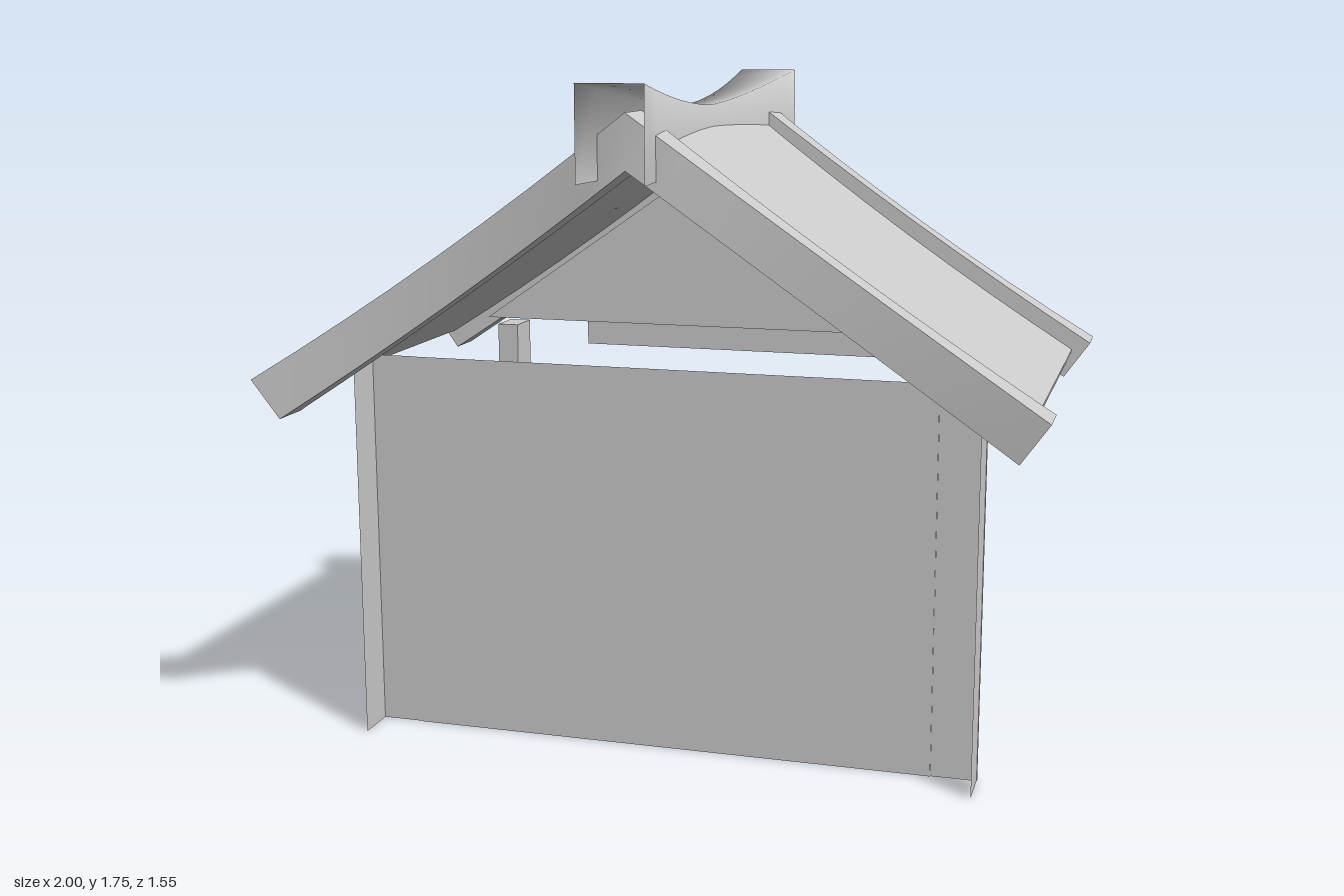
import * as THREE from 'three';
import { toCreasedNormals } from 'three/addons/utils/BufferGeometryUtils.js';

const grey = new THREE.MeshStandardMaterial({ color: 0xcccccc });
const greyThin = new THREE.MeshStandardMaterial({ color: 0xcccccc, side: THREE.DoubleSide });
const greyInner = new THREE.MeshStandardMaterial({ color: 0xcccccc, side: THREE.BackSide });

const COUNTER_Z = -0.085; // centre of the counter's half round
const WALL_Z = 0.345;

function addMesh(group, name, geometry, material = grey, x = 0, y = 0, z = 0) {
  const mesh = new THREE.Mesh(geometry, material);
  mesh.name = name;
  mesh.position.set(x, y, z);
  group.add(mesh);
  return mesh;
}

// Points along the counter at one radius: +x straight, arc round the back, -x straight
function counterLine([rx, rz], a0, a1) {
  const pts = [];
  if (a0 === 0) pts.push(new THREE.Vector2(rx, 0.005 - WALL_Z));
  const n = Math.round((a1 - a0) / (Math.PI / 16));
  for (let i = 0; i <= n; i++) {
    const a = a0 + (a1 - a0) * i / n;
    pts.push(new THREE.Vector2(rx * Math.cos(a), rz * Math.sin(a) - COUNTER_Z));
  }
  if (a1 === Math.PI) pts.push(new THREE.Vector2(-rx, 0));
  return pts;
}

function counterBand(outer, inner, a0, a1, height) {
  const outline = [...counterLine(outer, a0, a1), ...counterLine(inner, a0, a1).reverse()];
  const geo = new THREE.ExtrudeGeometry(new THREE.Shape(outline), { depth: height, bevelEnabled: false });
  geo.rotateX(-Math.PI / 2);
  return toCreasedNormals(geo, 0.6);
}

// Gable-shaped strip; top(t) and bottom(t) give [x, y] from ridge to eave,
// back(x) and front(x) give the z of its two ends
function chevron(top, bottom, back, front, crease) {
  const geo = new THREE.BoxGeometry(2, 1, 1, 16, 1, 1);
  const p = geo.attributes.position;
  for (let i = 0; i < p.count; i++) {
    const t = Math.abs(p.getX(i));
    const [x, y] = p.getY(i) > 0 ? top(t) : bottom(t);
    p.setXYZ(i, Math.sign(p.getX(i)) * x, y, p.getZ(i) > 0 ? front(x) : back(x));
  }
  return toCreasedNormals(geo, crease);
}

function createWalls(group) {
  addMesh(group, 'frontWall', new THREE.PlaneGeometry(1.4, 1.02), greyThin, 0, 0.51, WALL_Z);

  // Front corner posts: angle-shaped, open toward the front and the wall
  for (const s of [-1, 1]) {
    const post = new THREE.Group();
    post.name = s > 0 ? 'frontPostLeft' : 'frontPostRight';
    addMesh(post, 'postBack', new THREE.PlaneGeometry(0.12, 1.02), greyThin, s * 0.76, 0.51, 0.342);
    addMesh(post, 'postSide', new THREE.PlaneGeometry(0.113, 1.02), greyThin, s * 0.818, 0.51, 0.398)
      .rotation.y = Math.PI / 2;
    group.add(post);
  }

  // Slim square posts standing at the counter's edge
  addMesh(group, 'rearPostLeft', new THREE.BoxGeometry(0.06, 1.02, 0.08), grey, 0.64, 0.51, -0.3);
  addMesh(group, 'rearPostRight', new THREE.BoxGeometry(0.06, 1.02, 0.1), grey, -0.66, 0.51, -0.28);

  // Gable panel at the back, with a board hung in front of it
  const gable = new THREE.Shape([
    new THREE.Vector2(-0.82, 1.0), new THREE.Vector2(0.82, 1.0), new THREE.Vector2(0, 1.57)]);
  addMesh(group, 'rearGable', new THREE.ShapeGeometry(gable), greyThin, 0, 0, -0.47);
  addMesh(group, 'rearBoard', new THREE.BoxGeometry(1.02, 0.23, 0.03), grey, 0, 1.04, -0.525);
}

function createCounter(group) {
  const split = 0.31 * Math.PI;
  addMesh(group, 'counterTop',
    counterBand([0.715, 0.69], [0.41, 0.41], 0, Math.PI, 0.04), grey, 0, 0.35, 0);
  addMesh(group, 'counterFront',
    counterBand([0.69, 0.66], [0.68, 0.65], 0, Math.PI, 0.35), greyThin);
  // Inner lining: a two-sided length by the wall, then a length facing inward
  addMesh(group, 'counterLining', counterBand([0.455, 0.455], [0.445, 0.445], 0, split, 0.35));
  addMesh(group, 'counterInside',
    new THREE.CylinderGeometry(0.445, 0.445, 0.35, 12, 1, true, Math.PI / 2 + split, Math.PI - split),
    greyInner, 0, 0.175, COUNTER_Z);
  // Low gate closing the gap beside the wall
  addMesh(group, 'gate', new THREE.BoxGeometry(0.03, 0.2, 0.26), grey, -0.67, 0.255, 0.13);
  addMesh(group, 'gateCap', new THREE.BoxGeometry(0.06, 0.02, 0.26), grey, -0.67, 0.36, 0.13);
}

function createRoof(group) {
  const sag = (t, k) => k * 4 * t * (1 - t);
  const sheetTop = t => [0.95 * t, 1.645 - 0.665 * t - sag(t, 0.02)];
  const sheetBottom = t => [0.94 * t, 1.615 - 0.665 * t - sag(t, 0.02)];
  addMesh(group, 'roofPanels', chevron(sheetTop, sheetBottom, () => -0.5, () => 0.56, 1.3));

  // Barge boards, with outer faces that curve in half way down the slope
  const boardTop = t => [t, 1.68 - 0.68 * t - sag(t, 0.015)];
  const boardBottom = t => [0.93 * t, 1.545 - 0.645 * t - sag(t, 0.01)];
  const curve = x => ((x - 0.5) / 0.5) ** 2;
  addMesh(group, 'frontBargeBoards',
    chevron(boardTop, boardBottom, x => 0.535 + 0.012 * x, x => 0.62 + 0.043 * curve(x), 0.5));
  addMesh(group, 'rearBargeBoards',
    chevron(boardTop, boardBottom, x => -0.555 - 0.043 * curve(x), () => -0.48, 0.5));

  // Ridge cap: a channel that is narrow and low in the middle, wide and high at the ends
  const rows = 12;
  const cap = new THREE.PlaneGeometry(1, 1, 3, rows);
  const p = cap.attributes.position;
  for (let j = 0; j <= rows; j++) {
    const v = 2 * j / rows - 1;
    const flare = Math.abs(v) ** 1.5;
    const w = 0.035 + 0.048 * flare;
    const top = 1.675 + 0.075 * flare;
    const section = [[-w, 1.52], [-w, top], [w, top], [w, 1.52]];
    section.forEach(([x, y], i) => p.setXYZ(j * 4 + i, x, y, 0.0275 + 0.7475 * v));
  }
  cap.computeVertexNormals();
  addMesh(group, 'ridgeCap', cap, greyThin);
  addMesh(group, 'ridgeCapEnd', new THREE.PlaneGeometry(0.166, 0.23), greyThin, 0, 1.635, -0.72);
}

export function createModel() {
  const model = new THREE.Group();
  model.name = 'marketStall';
  createWalls(model);
  createCounter(model);
  createRoof(model);
  return model;
}
